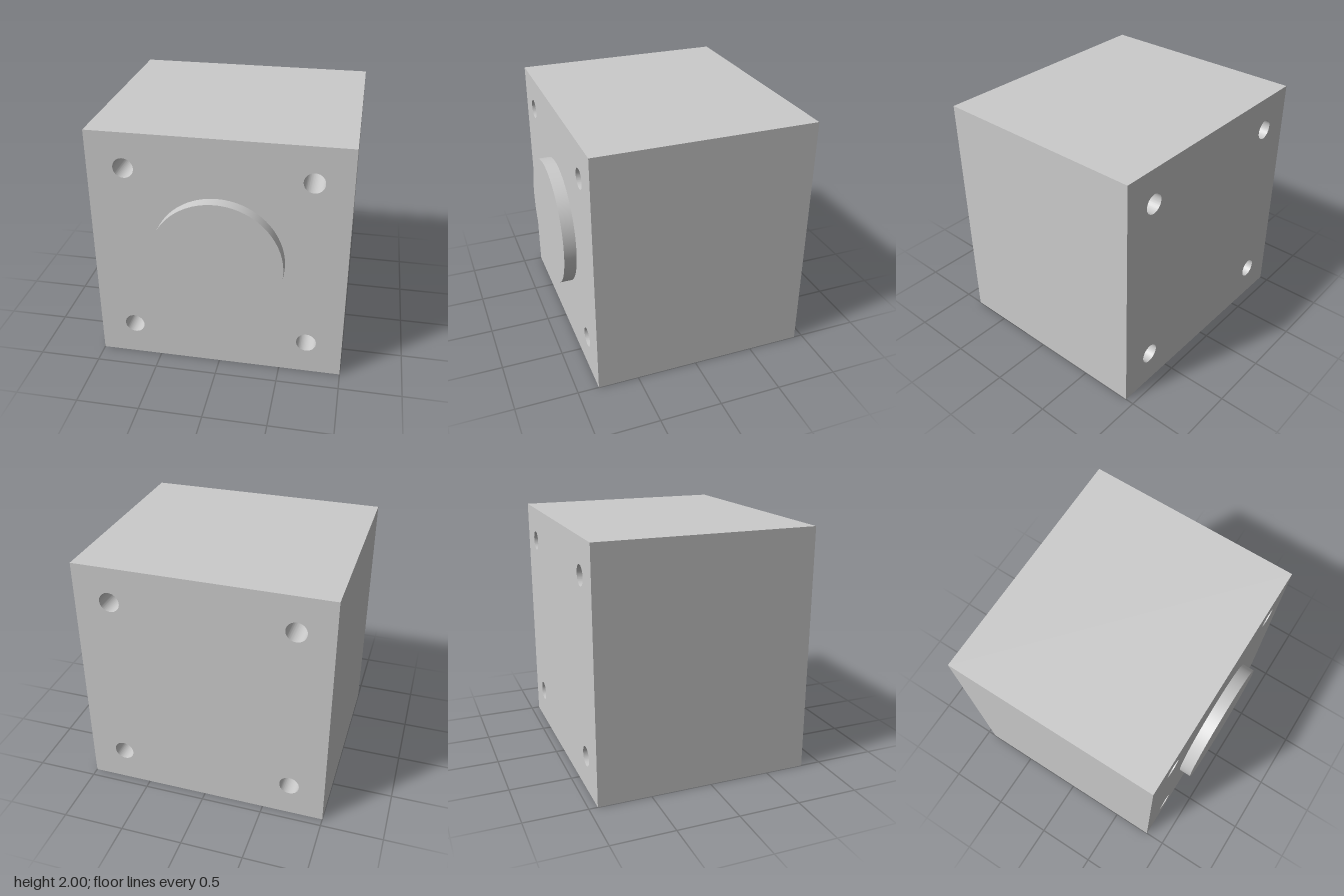
import * as THREE from 'three';
import { toCreasedNormals } from 'three/addons/utils/BufferGeometryUtils.js';

const BACK = -0.93, FACE = 0.83, FRONT = 0.93;
const HOLE_OFFSET = 0.714, HOLE_RADIUS = 0.08, BOSS_RADIUS = 0.522;

export function createModel() {
  const group = new THREE.Group();
  const material = new THREE.MeshStandardMaterial({ color: 0xcccccc });

  // Square block with four bolt holes running right through
  const square = new THREE.Shape();
  square.moveTo(-1, -1).lineTo(1, -1).lineTo(1, 1).lineTo(-1, 1).closePath();
  for (const sx of [-1, 1]) {
    for (const sy of [-1, 1]) {
      const hole = new THREE.Path();
      hole.absarc(sx * HOLE_OFFSET, sy * HOLE_OFFSET, HOLE_RADIUS, 0, Math.PI * 2, true);
      square.holes.push(hole);
    }
  }
  const blockGeometry = new THREE.ExtrudeGeometry(square, {
    depth: FACE - BACK, bevelEnabled: false, curveSegments: 48,
  });
  const block = new THREE.Mesh(toCreasedNormals(blockGeometry, Math.PI / 6), material);
  block.name = 'drilledBlock';
  block.position.set(0, 1, BACK);
  group.add(block);

  // Round locating boss on the front face
  const bossGeometry = new THREE.CylinderGeometry(BOSS_RADIUS, BOSS_RADIUS, FRONT - FACE, 96);
  bossGeometry.rotateX(Math.PI / 2);
  const boss = new THREE.Mesh(bossGeometry, material);
  boss.name = 'frontBoss';
  boss.position.set(0, 1, (FACE + FRONT) / 2);
  group.add(boss);

  return group;
}
